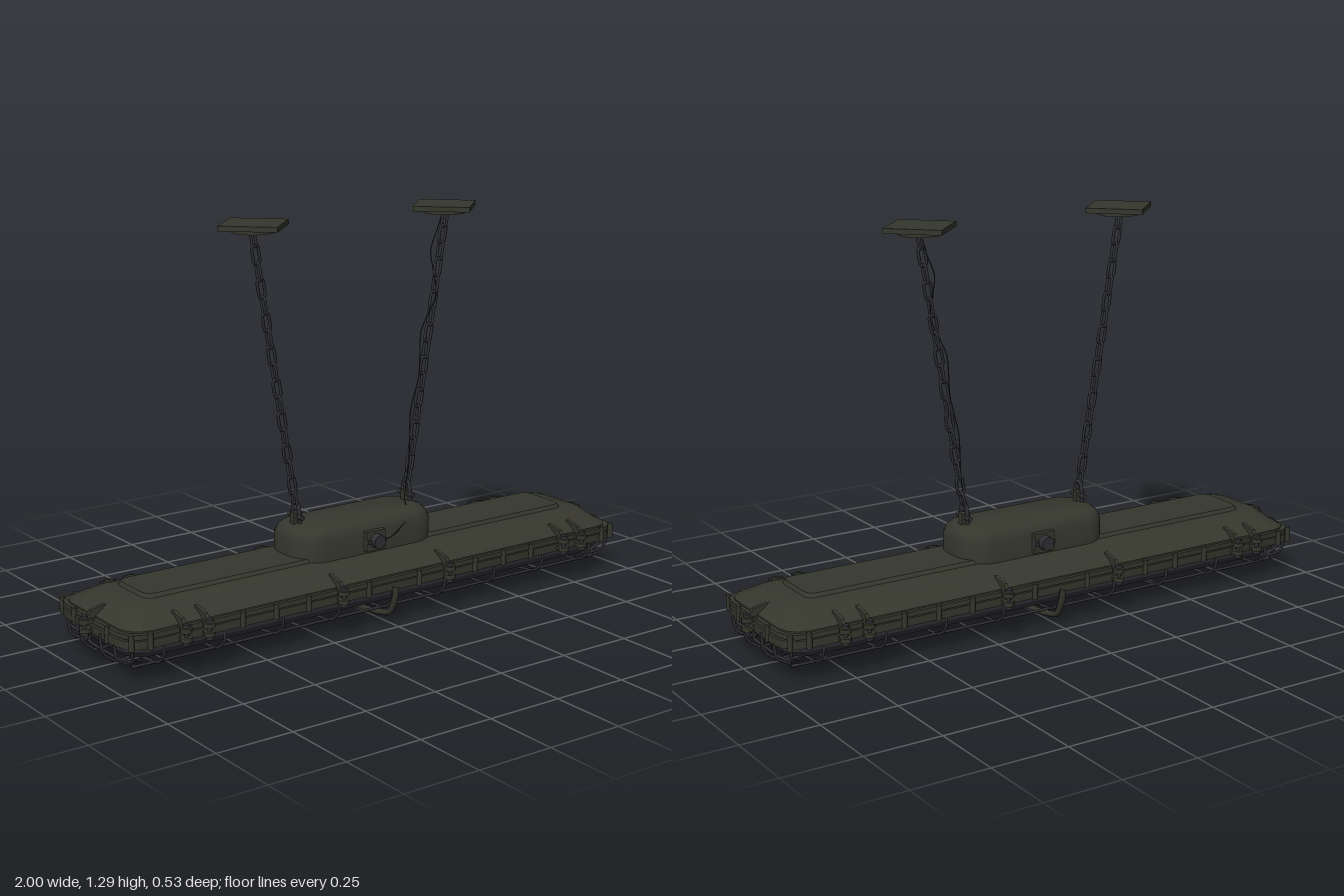
import * as THREE from 'three';
import { toCreasedNormals } from 'three/addons/utils/BufferGeometryUtils.js';

const V = (x, y, z) => new THREE.Vector3(x, y, z);

// Outline of a rectangle with rounded corners, counter-clockwise seen from above
function outline(hx, hz, c, y, n = 3) {
  const pts = [];
  for (let q = 0; q < 4; q++) {
    const sx = q === 0 || q === 3 ? 1 : -1, sz = q < 2 ? -1 : 1;
    for (let k = 0; k <= n; k++) {
      const a = (q + k / n) * Math.PI / 2;
      pts.push(V(sx * (hx - c) + c * Math.cos(a), y, sz * (hz - c) - c * Math.sin(a)));
    }
  }
  return pts;
}

// Closed solid through layers [halfX, halfZ, corner, y], from bottom to top
function loft(layers, n = 3) {
  const rings = layers.map(([hx, hz, c, y]) => outline(hx, hz, c, y, n));
  const m = rings[0].length, pos = [];
  const tri = (...p) => p.forEach(v => pos.push(v.x, v.y, v.z));
  const low = V(0, layers[0][3], 0), high = V(0, layers.at(-1)[3], 0);
  for (let i = 0; i < m; i++) {
    const k = (i + 1) % m;
    for (let j = 0; j + 1 < rings.length; j++) {
      tri(rings[j][i], rings[j][k], rings[j + 1][k]);
      tri(rings[j][i], rings[j + 1][k], rings[j + 1][i]);
    }
    tri(low, rings[0][k], rings[0][i]);
    tri(high, rings.at(-1)[i], rings.at(-1)[k]);
  }
  const g = new THREE.BufferGeometry();
  g.setAttribute('position', new THREE.Float32BufferAttribute(pos, 3));
  return toCreasedNormals(g, 0.5);
}

function wire(points, r, closed = false, segs = 40, sides = 6) {
  const curve = new THREE.CatmullRomCurve3(points, closed, 'catmullrom', 0.35);
  return new THREE.TubeGeometry(curve, segs, r, sides, closed);
}

export function createModel() {
  const model = new THREE.Group();
  const mat = (name, color) => Object.assign(new THREE.MeshStandardMaterial({ color }), { name });
  const paint = mat('olive paint', 0x35362c);
  const glass = mat('smoked glass', 0x38353d);
  const steel = mat('dark steel', 0x2f2f33);
  const add = (name, geo, material, parent = model, x = 0, y = 0, z = 0) => {
    const m = new THREE.Mesh(geo, material);
    m.name = name;
    m.position.set(x, y, z);
    parent.add(m);
    return m;
  };

  // Housing, flange and raised spine
  add('housing', loft([
    [0.95, 0.215, 0.07, 0.15], [0.95, 0.215, 0.07, 0.165], [0.925, 0.19, 0.07, 0.182],
    [0.9, 0.135, 0.06, 0.208], [0.87, 0.105, 0.05, 0.216]]), paint);
  add('spine', loft([[0.83, 0.1, 0.03, 0.21], [0.82, 0.09, 0.03, 0.228]]), paint);
  add('upperFlange', loft([[0.962, 0.228, 0.075, 0.145], [0.962, 0.228, 0.075, 0.16]]), paint);
  add('lowerFlange', loft([[0.965, 0.225, 0.075, 0.115], [0.965, 0.225, 0.075, 0.14]]), paint);
  add('gasket', loft([[0.95, 0.212, 0.07, 0.135], [0.95, 0.212, 0.07, 0.15]]), steel);

  // Lens below the housing
  add('lens', loft([
    [0.8, 0.07, 0.05, 0.04], [0.88, 0.125, 0.06, 0.048], [0.915, 0.165, 0.07, 0.065],
    [0.935, 0.19, 0.07, 0.09], [0.94, 0.198, 0.07, 0.12]], 5), glass);

  // Junction box on top
  add('junctionBox', loft([
    [0.27, 0.115, 0.09, 0.2], [0.27, 0.115, 0.09, 0.28], [0.262, 0.107, 0.085, 0.302],
    [0.245, 0.09, 0.07, 0.317], [0.225, 0.07, 0.06, 0.325]], 6), paint);

  // Cable ports on both long sides of the box
  for (const s of [1, -1]) {
    const port = new THREE.Group();
    port.name = 'cablePort';
    port.position.set(0, 0.255, s * 0.11);
    if (s < 0) port.rotation.y = Math.PI;
    model.add(port);
    add('portPlate', new THREE.BoxGeometry(0.075, 0.065, 0.02), paint, port, 0, 0, 0.01);
    add('portGland', new THREE.CylinderGeometry(0.022, 0.026, 0.035, 12), steel, port, 0, 0, 0.025).rotation.x = Math.PI / 2;
    for (const x of [-0.03, 0.03]) add('portBolt', new THREE.BoxGeometry(0.012, 0.012, 0.012), steel, port, x, 0, 0.022);
  }

  // Protective cage: cross wires, lengthwise wires, perimeter wire and middle hoop
  for (let i = -4; i <= 4; i++) {
    const x = i * 0.21;
    add('crossWire', wire([V(x, 0.12, -0.22), V(x, 0.08, -0.215), V(x, 0.045, -0.17), V(x, 0.032, 0),
      V(x, 0.045, 0.17), V(x, 0.08, 0.215), V(x, 0.12, 0.22)], 0.005), steel);
  }
  for (const z of [-0.06, 0.06]) {
    add('longWire', wire([V(-0.965, 0.13, z), V(-0.96, 0.07, z), V(-0.92, 0.038, z), V(-0.8, 0.034, z),
      V(0.8, 0.034, z), V(0.92, 0.038, z), V(0.96, 0.07, z), V(0.965, 0.13, z)], 0.005, false, 80), steel);
  }
  add('perimeterWire', wire(outline(0.915, 0.165, 0.08, 0.045), 0.005, true, 120), steel);
  for (const sx of [-1, 1]) for (const sz of [-1, 1]) {
    add('cornerWire', wire([V(sx * 0.94, 0.12, sz * 0.2), V(sx * 0.93, 0.075, sz * 0.19), V(sx * 0.89, 0.045, sz * 0.145)], 0.005, false, 10), steel);
    add('endWire', wire([V(sx * 0.965, 0.12, sz * 0.14), V(sx * 0.955, 0.07, sz * 0.14), V(sx * 0.91, 0.042, sz * 0.13)], 0.005, false, 10), steel);
  }
  add('middleHoop', wire([V(0, 0.13, -0.235), V(0, 0.09, -0.23), V(0, 0.035, -0.2), V(0, 0.016, -0.11),
    V(0, 0.01, 0), V(0, 0.016, 0.11), V(0, 0.035, 0.2), V(0, 0.09, 0.23), V(0, 0.13, 0.235)], 0.01, false, 48, 8), paint);

  // Clamps around the rim: lugs joined by a bolt, with a rib on the housing
  const lug = new THREE.CylinderGeometry(0.018, 0.018, 0.014, 10);
  const bolt = new THREE.CylinderGeometry(0.007, 0.007, 0.065, 8);
  const nut = new THREE.CylinderGeometry(0.012, 0.012, 0.01, 6);
  const arm = new THREE.BoxGeometry(0.026, 0.014, 0.05);
  const ribShape = new THREE.Shape([[0, 0], [0.075, 0], [0.055, 0.03], [0, 0.042]].map(p => new THREE.Vector2(...p)));
  const rib = new THREE.ExtrudeGeometry(ribShape, { depth: 0.012, bevelEnabled: false });
  rib.translate(0, 0, -0.006).rotateY(-Math.PI / 2);
  const clamp = (x, z, turn) => {
    const g = new THREE.Group();
    g.name = 'clamp';
    g.position.set(x, 0.14, z);
    g.rotation.y = turn;
    model.add(g);
    for (const y of [-0.014, 0.014]) {
      add('clampLug', lug, paint, g, 0, y, 0.005);
      add('clampArm', arm, paint, g, 0, y, -0.02);
    }
    add('clampBolt', bolt, steel, g, 0, 0, 0.005);
    for (const y of [-0.027, 0.027]) add('clampNut', nut, steel, g, 0, y, 0.005);
    add('clampRib', rib, paint, g, 0, 0.015, -0.068);
  };
  for (const x of [-0.78, -0.7, -0.21, 0.21, 0.7, 0.78]) {
    clamp(x, 0.24, 0);
    clamp(x, -0.24, Math.PI);
  }
  clamp(0.977, 0, Math.PI / 2);
  clamp(-0.977, 0, -Math.PI / 2);

  // Small studs along the flange and at the corners
  const stud = new THREE.CylinderGeometry(0.009, 0.009, 0.05, 8);
  for (const sx of [-1, 1]) for (const sz of [-1, 1]) {
    for (const [x, z] of [[0.1, 0.226], [0.33, 0.226], [0.45, 0.226], [0.57, 0.226], [0.89, 0.226], [0.963, 0.1], [0.945, 0.21]])
      add('flangeStud', stud, paint, model, sx * x, 0.138, sz * z);
  }

  // Chain link: a stretched ring
  const linkPts = [];
  for (let i = 0; i < 12; i++) {
    const a = (i + 0.5) / 12 * Math.PI * 2;
    linkPts.push(V(0.012 * Math.cos(a), 0.014 * Math.sin(a) + Math.sign(Math.sin(a)) * 0.016, 0));
  }
  const linkGeo = wire(linkPts, 0.0048, true, 28);

  // Ceiling plates, chains and shackles, one set per side
  const links = 17;
  for (const s of [-1, 1]) {
    const set = new THREE.Group();
    set.name = 'suspension';
    model.add(set);
    add('ceilingPlate', new THREE.BoxGeometry(0.182, 0.016, 0.182), paint, set, s * 0.368, 1.282, 0).rotation.y = Math.PI / 4;
    add('ceilingBoss', new THREE.CylinderGeometry(0.068, 0.068, 0.014, 24), paint, set, s * 0.368, 1.268, 0);
    const top = V(s * 0.37, 1.245, 0), bottom = V(s * 0.225, 0.395, 0);
    const tilt = -Math.atan2(top.x - bottom.x, top.y - bottom.y);
    for (let i = 0; i < links; i++) {
      const link = add('chainLink', linkGeo, steel, set);
      link.position.lerpVectors(bottom, top, i / (links - 1));
      link.rotation.set(0, i % 2 ? 0 : Math.PI / 2, tilt, 'ZYX');
    }
    const x = s * 0.22;
    add('shackle', wire([V(x, 0.315, -0.02), V(x, 0.35, -0.02), V(x, 0.38, -0.014), V(x, 0.392, 0),
      V(x, 0.38, 0.014), V(x, 0.35, 0.02), V(x, 0.315, 0.02)], 0.007, false, 24), steel, set);
    add('shacklePin', new THREE.CylinderGeometry(0.008, 0.008, 0.075, 8), steel, set, x, 0.345, 0).rotation.x = Math.PI / 2;
    add('shackleFoot', new THREE.BoxGeometry(0.03, 0.05, 0.022), paint, set, x, 0.333, 0);
  }

  // Thin supply cable running from the port up along one chain
  add('cable', wire([V(0.01, 0.255, 0.145), V(0.07, 0.262, 0.13), V(0.15, 0.3, 0.1), V(0.19, 0.345, 0.03),
    V(0.225, 0.46, 0.008), V(0.245, 0.62, -0.012), V(0.262, 0.74, 0.01), V(0.285, 0.88, -0.01),
    V(0.33, 1.0, 0.01), V(0.335, 1.13, -0.028), V(0.362, 1.2, -0.03), V(0.37, 1.262, -0.01)], 0.002, false, 80, 5), steel);

  return model;
}
